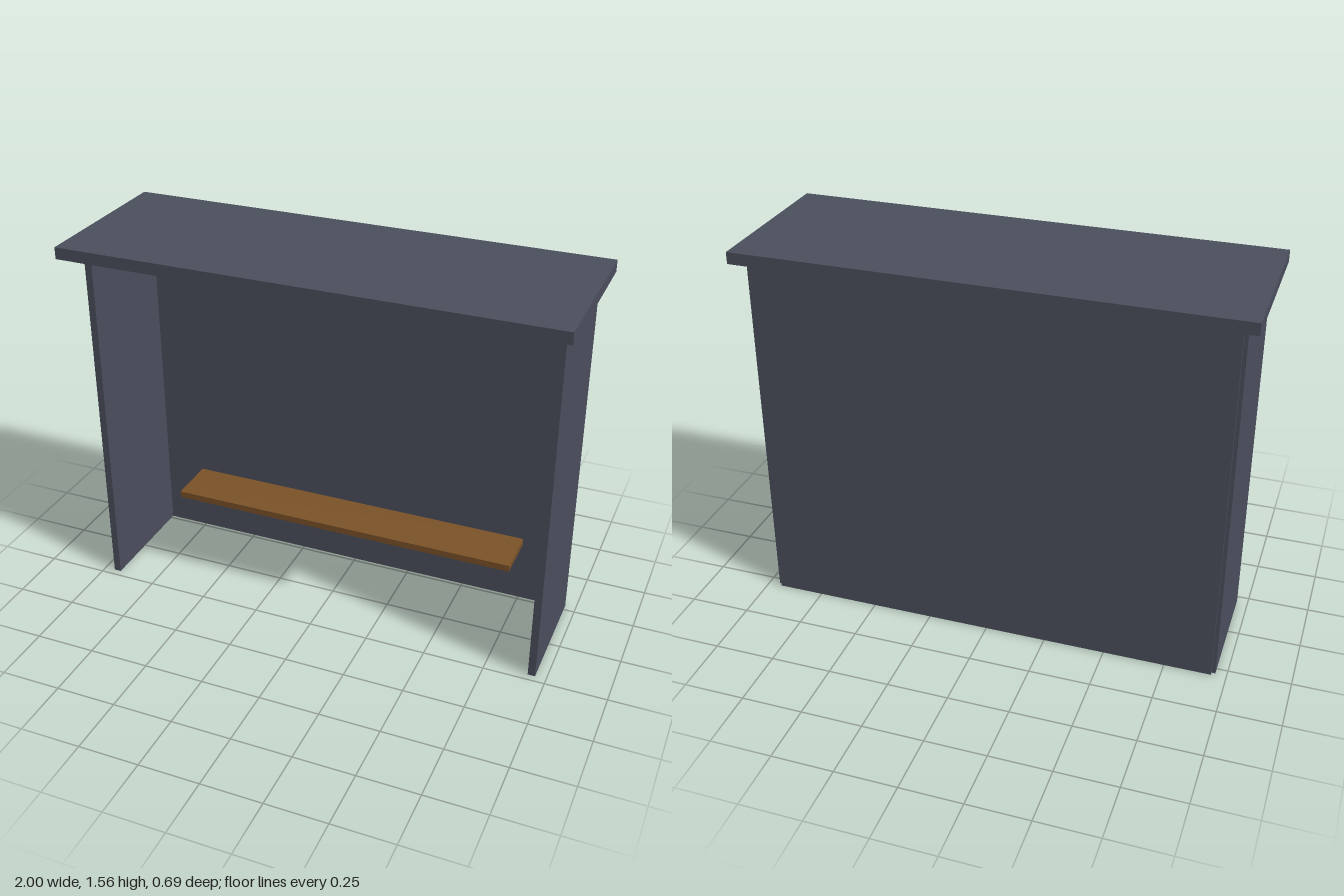
import * as THREE from 'three';

export function createModel() {
  const group = new THREE.Group();
  const slate = new THREE.MeshStandardMaterial({ color: 0x4b4f5d });
  slate.name = 'slate grey';
  const wood = new THREE.MeshStandardMaterial({ color: 0x7a5228 });
  wood.name = 'brown wood';

  // Box given by its extents along each axis
  const panel = (name, material, [x0, x1], [y0, y1], [z0, z1]) => {
    const mesh = new THREE.Mesh(new THREE.BoxGeometry(x1 - x0, y1 - y0, z1 - z0), material);
    mesh.position.set((x0 + x1) / 2, (y0 + y1) / 2, (z0 + z1) / 2);
    mesh.name = name;
    group.add(mesh);
  };

  // Shelter walls: the back panel sits slightly proud of the side panels
  panel('backWall', slate, [-0.94, 0.94], [0, 1.5], [-0.294, -0.266]);
  panel('rightWall', slate, [-0.955, -0.925], [0, 1.5], [-0.28, 0.22]);
  panel('leftWall', slate, [0.925, 0.955], [0, 1.5], [-0.28, 0.22]);

  // Overhanging roof slab, floating just above the walls
  panel('roof', slate, [-1, 1], [1.509, 1.557], [-0.344, 0.344]);

  // Bench board fixed to the back wall
  panel('bench', wood, [-0.753, 0.753], [0.27, 0.298], [-0.278, -0.053]);

  return group;
}
